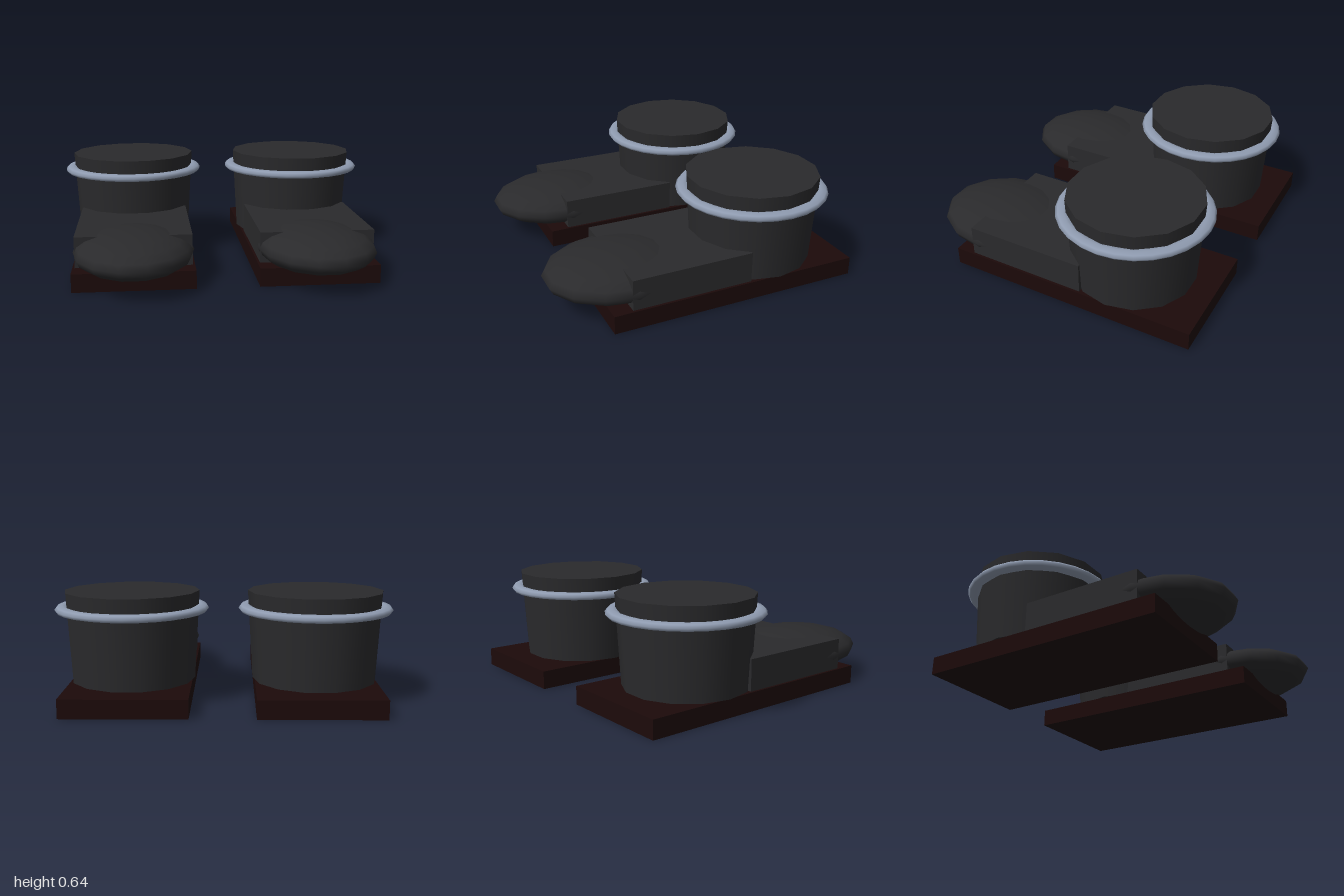
import * as THREE from 'three';

const material = (color) => new THREE.MeshStandardMaterial({ color });

export function createModel() {
  const model = new THREE.Group();
  const leather = material(0x2a2a2c);
  const soleBrown = material(0x1c0a0a);
  const steel = material(0x8f9bb0);

  const add = (parent, name, geometry, mat, x, y, z) => {
    const mesh = new THREE.Mesh(geometry, mat);
    mesh.name = name;
    mesh.position.set(x, y, z);
    parent.add(mesh);
    return mesh;
  };

  // Shared geometries
  const sole = new THREE.BoxGeometry(0.715, 0.11, 1.545);
  const vamp = new THREE.BoxGeometry(0.686, 0.185, 0.74);
  const toe = new THREE.SphereGeometry(1, 14, 10).scale(0.355, 0.125, 0.434);
  const shaft = new THREE.CylinderGeometry(0.4, 0.37, 0.53, 14).rotateY(Math.PI / 2);
  // Flattened ring around the ankle
  const cuff = new THREE.TorusGeometry(0.41, 0.045, 8, 28).rotateX(Math.PI / 2).scale(1, 0.55, 1);

  for (const [side, name] of [[1, 'leftBoot'], [-1, 'rightBoot']]) {
    const boot = new THREE.Group();
    boot.name = name;
    boot.position.x = side * 0.543;
    add(boot, 'sole', sole, soleBrown, 0, 0.055, -0.1375);
    add(boot, 'vamp', vamp, leather, 0, 0.2025, 0.15);
    add(boot, 'toeCap', toe, leather, 0, 0.195, 0.48);
    add(boot, 'shaft', shaft, leather, 0, 0.375, -0.4);
    add(boot, 'cuffRing', cuff, steel, 0, 0.535, -0.4);
    model.add(boot);
  }
  return model;
}
